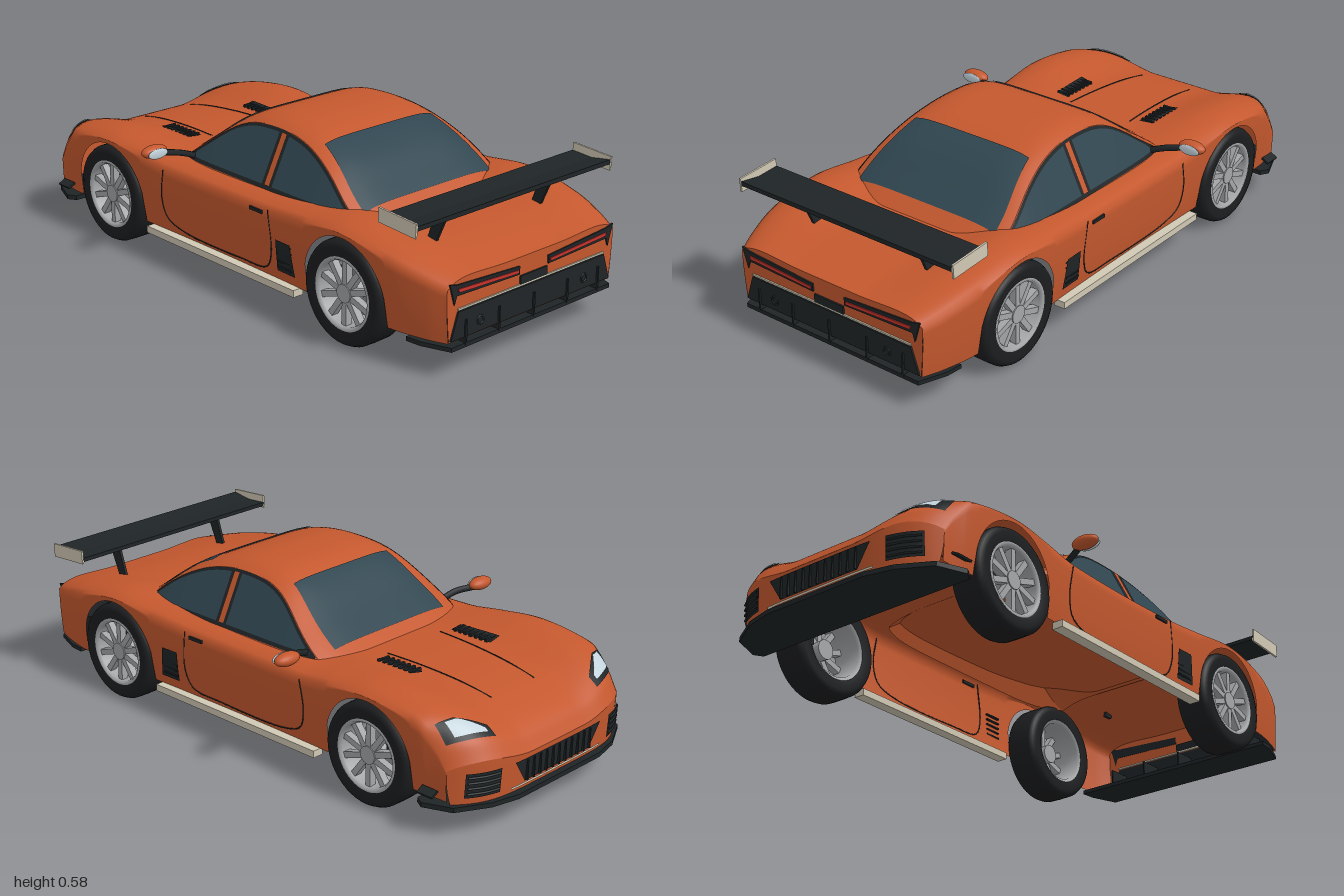
import * as THREE from 'three';

const mat = (color) => new THREE.MeshStandardMaterial({ color, side: THREE.DoubleSide });
const ORANGE = mat(0xc4582e), BLACK = mat(0x1f2426), GLASS = mat(0x2f454f), CREAM = mat(0xd0c8b4);
const RED = mat(0xc8342c), TYRE = mat(0x1c1d1f), SILVER = mat(0xa4a6a8), LENS = mat(0xc4d4dc);
const V = (x, y, z) => new THREE.Vector3(x, y, z);
const { smoothstep, lerp, clamp } = THREE.MathUtils;

// Smooth function through [z, value] pairs
function curve(pts) {
  const slope = (i) => {
    const a = pts[Math.max(i - 1, 0)], b = pts[Math.min(i + 1, pts.length - 1)];
    return (b[1] - a[1]) / (b[0] - a[0]);
  };
  return (z) => {
    let i = 0;
    while (i < pts.length - 2 && z > pts[i + 1][0]) i++;
    const h = pts[i + 1][0] - pts[i][0], t = clamp((z - pts[i][0]) / h, 0, 1), t2 = t * t, t3 = t2 * t;
    return (2 * t3 - 3 * t2 + 1) * pts[i][1] + (t3 - 2 * t2 + t) * h * slope(i)
      + (3 * t2 - 2 * t3) * pts[i + 1][1] + (t3 - t2) * h * slope(i + 1);
  };
}

// Body rules: the nose points to -z
const NOSE = -0.985, TAIL = 0.985, AXLES = [-0.58, 0.6], WHEEL_Y = 0.175, ARCH_W = 0.179, ARCH_H = 0.186;
const halfWidth = curve([[NOSE, 0.415], [-0.85, 0.43], [-0.58, 0.437], [-0.3, 0.425], [0, 0.422], [0.3, 0.427], [0.6, 0.438], [0.8, 0.428], [0.92, 0.4], [TAIL, 0.375]]);
const centreY = curve([[NOSE, 0.225], [-0.95, 0.272], [-0.88, 0.31], [-0.75, 0.345], [-0.55, 0.365], [-0.33, 0.368], [0.1, 0.36], [0.6, 0.362], [0.8, 0.35], [TAIL, 0.312]]);
const fenderY = curve([[NOSE, 0.25], [-0.95, 0.303], [-0.88, 0.35], [-0.75, 0.385], [-0.58, 0.403], [-0.42, 0.39], [-0.28, 0.374], [0.2, 0.376], [0.42, 0.39], [0.6, 0.403], [0.8, 0.37], [TAIL, 0.32]]);
const bend = (x, z) => z + 0.115 * (1 - smoothstep(z, NOSE, -0.75)) * (Math.abs(x) / 0.43) ** 5;
const deckY = (x, z) => {
  const t = Math.min(Math.abs(x) / halfWidth(z), 1);
  return lerp(centreY(z), fenderY(z), smoothstep(t, 0.3, 0.8)) - 0.028 * t ** 12;
};
const deck = (x, z, lift = 0) => V(x, deckY(x, z) + lift, bend(x, z));
const nose = (x, y, out = 0.005) => V(x, y, bend(x, NOSE) + 0.008 * clamp((0.23 - y) / 0.12, 0, 1) - out);
const sideX = (y, z) => halfWidth(z) - 0.02 * ((deckY(1, z) - y) / 0.25) ** 2;
const flank = (s, y, z, out = 0) => V(s * (sideX(y, z) + out), y, bend(halfWidth(z), z));
function sillY(z) {
  for (const a of AXLES) {
    const d = Math.abs(z - a) / ARCH_W;
    if (d < 1) return Math.min(WHEEL_Y + ARCH_H * Math.sqrt(1 - d * d), deckY(1, z) - 0.003);
  }
  return 0.12;
}

// Cabin rules
const roofY = curve([[-0.34, 0.355], [-0.3, 0.383], [-0.2, 0.452], [-0.08, 0.538], [0, 0.57], [0.1, 0.58], [0.2, 0.574], [0.3, 0.55], [0.4, 0.502], [0.5, 0.43], [0.6, 0.355]]);
const cabinX = (y, z) => 0.35 - 0.5 * (y - 0.37) - 0.06 * ((z - 0.12) / 0.47) ** 6;
const eaveY = (z) => Math.max(roofY(z) - 0.028, 0.33);
const roof = (a, z, lift = 0) => V(a * cabinX(eaveY(z), z), lerp(roofY(z), eaveY(z), a ** 6) + lift, z);

export function createModel() {
  const car = new THREE.Group();
  const add = (name, geo, material, parent = car) => {
    const m = new THREE.Mesh(geo, material);
    m.name = name;
    parent.add(m);
    return m;
  };
  // Surface from fn(u, v) over the unit square
  const patch = (name, material, nu, nv, fn) => {
    const pos = [], idx = [];
    for (let i = 0; i <= nu; i++) for (let j = 0; j <= nv; j++) {
      pos.push(...fn(i / nu, j / nv).toArray());
      if (i < nu && j < nv) {
        const a = i * (nv + 1) + j, b = a + nv + 1;
        idx.push(a, a + 1, b, b, a + 1, b + 1);
      }
    }
    const g = new THREE.BufferGeometry();
    g.setAttribute('position', new THREE.Float32BufferAttribute(pos, 3));
    g.setIndex(idx);
    g.computeVertexNormals();
    return add(name, g, material);
  };
  const box = (name, material, w, h, d, x, y, z) => {
    const m = add(name, new THREE.BoxGeometry(w, h, d), material);
    m.position.set(x, y, z);
    return m;
  };
  const tube = (name, material, pts, r) =>
    add(name, new THREE.TubeGeometry(new THREE.CatmullRomCurve3(pts), 48, r, 6), material);
  // Flat outline, extruded along its own z
  const plate = (name, material, pts, depth) =>
    add(name, new THREE.ExtrudeGeometry(new THREE.Shape(pts.map((p) => new THREE.Vector2(...p))), { depth, bevelEnabled: false }), material);
  // Symmetric plan outline [x, z], laid flat with its top at y
  const floorPlate = (name, material, half, thick, y) => {
    const m = plate(name, material, [...half, ...half.slice().reverse().map(([x, z]) => [-x, z])], thick);
    m.rotation.x = Math.PI / 2;
    m.position.y = y;
  };

  // Shell: flanks with wheel arches run smoothly into the deck, then nose and tail faces
  patch('bodyShell', ORANGE, 300, 64, (u, v) => {
    const z = lerp(NOSE, TAIL, u), a = 2 * v - 1, edge = 0.75;
    if (Math.abs(a) <= edge) return deck((a / edge) * halfWidth(z), z);
    return flank(Math.sign(a), lerp(deckY(1, z), sillY(z), (Math.abs(a) - edge) / (1 - edge)), z);
  });
  patch('noseFace', ORANGE, 6, 48, (u, v) => {
    const x = (2 * v - 1) * halfWidth(NOSE);
    return nose(x * (1 - 0.03 * u * u), lerp(deckY(x, NOSE), 0.11, u), 0);
  });
  patch('tailFace', ORANGE, 6, 48, (u, v) => {
    const x = (2 * v - 1) * halfWidth(TAIL);
    return V(x * (1 - 0.03 * u * u), lerp(deckY(x, TAIL), 0.122, u), TAIL);
  });

  // Cabin, windscreen and rear window
  patch('cabinRoof', ORANGE, 60, 32, (u, v) => roof(2 * v - 1, lerp(-0.34, 0.6, u)));
  patch('windscreen', GLASS, 16, 16, (u, v) => roof((2 * v - 1) * lerp(0.8, 0.81, u), lerp(-0.285, -0.06, u), 0.004));
  patch('rearWindow', GLASS, 16, 16, (u, v) => roof((2 * v - 1) * lerp(0.86, 0.9, u), lerp(0.31, 0.545, u), 0.004));

  // Grille and number panel
  patch('grille', BLACK, 20, 2, (u, v) => nose((2 * u - 1) * lerp(0.16, 0.21, v), lerp(0.135, 0.212, v)));
  for (let i = -5; i <= 5; i++) box('grilleBar', BLACK, 0.005, 0.07, 0.008, i * 0.031, 0.172, nose(i * 0.031, 0.172).z - 0.002);
  patch('grilleTrim', CREAM, 20, 1, (u, v) => nose((2 * u - 1) * 0.22, lerp(0.122, 0.13, v)));
  box('numberPanel', BLACK, 0.12, 0.028, 0.012, 0, 0.238, TAIL);

  // Front splitter and rear tray
  floorPlate('frontSplitter', BLACK, [[0.2, -0.998], [0.3, -0.975], [0.41, -0.915], [0.448, -0.82], [0.43, -0.79]], 0.016, 0.109);
  floorPlate('diffuserTray', BLACK, [[0.36, 0.995], [0.395, 0.9], [0.4, 0.845]], 0.014, 0.109);

  // Rear diffuser
  const diffuser = plate('diffuserPanel', BLACK, [[-0.36, 0.127], [0.36, 0.127], [0.33, 0.215], [-0.33, 0.215]], 0.008);
  diffuser.position.z = TAIL - 0.002;
  box('tailTrim', CREAM, 0.66, 0.006, 0.01, 0, 0.221, TAIL);
  for (const x of [-0.3, -0.155, 0, 0.155, 0.3]) box('diffuserFin', BLACK, 0.006, 0.08, 0.1, x, 0.143, 0.947);

  // Rear wing
  const wing = plate('wingBlade', BLACK, [[-0.76, 0.466], [-0.84, 0.458], [-0.915, 0.472], [-0.915, 0.487], [-0.84, 0.475], [-0.76, 0.48]], 0.87);
  wing.rotation.y = Math.PI / 2;
  wing.position.x = -0.435;

  for (const s of [-1, 1]) {
    patch('cabinSide', ORANGE, 60, 6, (u, v) => {
      const z = lerp(-0.34, 0.6, u), y = lerp(eaveY(z), 0.33, v);
      return V(s * cabinX(y, z), y, z);
    });
    // Side windows over a dark surround
    const pane = (name, m, z0, z1, low, gap, out) => patch(name, m, 30, 4, (u, v) => {
      const z = lerp(z0, z1, u), y = lerp(low, Math.max(eaveY(z) - gap, low), v);
      return V(s * (cabinX(y, z) + out), y, z);
    });
    pane('windowSurround', BLACK, -0.265, 0.55, 0.373, 0, 0.003);
    pane('frontSideWindow', GLASS, -0.245, 0.132, 0.386, 0.009, 0.006);
    pane('rearSideWindow', GLASS, 0.18, 0.52, 0.386, 0.009, 0.006);
    pane('doorPillar', ORANGE, 0.144, 0.168, 0.386, 0.006, 0.007);
    // Door seam, handle, side vent and skirt
    tube('doorSeam', BLACK, [[0.25, 0.35], [0.26, 0.21], [0.23, 0.148], [0.1, 0.135], [-0.2, 0.14], [-0.28, 0.17], [-0.3, 0.24], [-0.285, 0.34]]
      .map(([z, y]) => flank(s, y, z)), 0.0023);
    box('doorHandle', BLACK, 0.012, 0.011, 0.06, s * sideX(0.335, 0.2), 0.335, 0.195);
    patch('sideVent', BLACK, 4, 4, (u, v) => flank(s, lerp(0.155, 0.262, u), lerp(0.29, lerp(0.375, 0.36, u), v), 0.005));
    for (let i = 0; i < 5; i++) box('sideVentSlat', BLACK, 0.012, 0.005, 0.066, s * sideX(0.2, 0.33), 0.172 + i * 0.019, 0.328);
    box('sideSkirt', CREAM, 0.04, 0.024, 0.75, s * 0.42, 0.109, 0.012);
    // Headlamp, wider towards its outer end
    const lamp = (name, m, x0, x1, inset, lift) => patch(name, m, 16, 8, (u, v) => {
      const x = lerp(x0, x1, u), front = -0.945 + inset;
      return deck(s * x, lerp(front, lerp(-0.91, -0.86, Math.min(u * 1.6, 1)) - inset, v), lift);
    });
    lamp('headlampFrame', BLACK, 0.25, 0.4, 0, 0.004);
    lamp('headlampLens', LENS, 0.268, 0.375, 0.011, 0.008);
    // Corner intake with slats, and small canard
    patch('cornerIntake', BLACK, 10, 2, (u, v) => nose(s * lerp(0.265, 0.375, u), lerp(0.132, 0.213, v)));
    for (let i = 0; i < 4; i++)
      tube('intakeSlat', BLACK, [0.27, 0.32, 0.37].map((x) => nose(s * x, 0.145 + i * 0.018, 0.007)), 0.004);
    box('canard', BLACK, 0.03, 0.008, 0.06, s * 0.437, 0.145, -0.835).rotation.z = -s * 0.5;
    // Bonnet vent with slats, and bonnet crease
    patch('bonnetVent', BLACK, 4, 8, (u, v) => deck(s * (lerp(0.157, 0.205, u) + 0.008 * (1 - v)), lerp(-0.57, -0.41, v), 0.004));
    for (let i = 0; i < 7; i++) box('bonnetVentSlat', BLACK, 0.05, 0.01, 0.009, s * 0.184, deckY(0.183, -0.5) + 0.003, -0.555 + i * 0.022);
    tube('bonnetCrease', BLACK, [0, 0.25, 0.5, 0.75, 1].map((t) => deck(s * lerp(0.105, 0.128, t), lerp(-0.8, -0.39, t))), 0.0025);
    // Tail lamp
    const frame = plate('tailLampFrame', BLACK, [[0.065, 0.258], [0.338, 0.267], [0.347, 0.24], [0.368, 0.31], [0.335, 0.302], [0.065, 0.285]].map(([x, y]) => [s * x, y]), 0.006);
    frame.position.z = TAIL - 0.001;
    const strip = plate('tailLamp', RED, [[0.072, 0.265], [0.33, 0.277], [0.335, 0.289], [0.072, 0.275]].map(([x, y]) => [s * x, y]), 0.004);
    strip.position.z = TAIL + 0.004;
    const pipe = add('exhaustPipe', new THREE.TorusGeometry(0.013, 0.003, 8, 24), BLACK);
    pipe.position.set(s * 0.235, 0.163, TAIL + 0.006);
    // Wing end plate and stay
    box('wingEndPlate', CREAM, 0.007, 0.047, 0.155, s * 0.435, 0.478, 0.838).rotation.x = 0.06;
    const stay = plate('wingStay', BLACK, [[-0.765, 0.345], [-0.8, 0.345], [-0.855, 0.468], [-0.805, 0.468]], 0.01);
    stay.rotation.y = Math.PI / 2;
    stay.position.x = s * 0.235 - 0.005;
    // Door mirror
    const shell = add('mirrorShell', new THREE.SphereGeometry(0.05, 24, 16), ORANGE);
    shell.scale.set(1, 0.44, 0.55);
    shell.position.set(s * 0.466, 0.418, -0.275);
    const mirror = add('mirrorGlass', new THREE.SphereGeometry(0.04, 24, 12), LENS);
    mirror.scale.set(1, 0.44, 0.12);
    mirror.position.set(s * 0.468, 0.416, -0.251);
    tube('mirrorArm', BLACK, [V(s * 0.33, 0.385, -0.225), V(s * 0.38, 0.402, -0.24), V(s * 0.435, 0.41, -0.268)], 0.011);

    // Wheels: axis along local y, outer side at +y
    for (const z of AXLES) {
      const wheel = new THREE.Group();
      wheel.name = 'wheel';
      const lathe = (name, m, pts) => add(name, new THREE.LatheGeometry(pts.map((p) => new THREE.Vector2(...p)), 48), m, wheel);
      lathe('tyre', TYRE, [[0.118, -0.058], [0.15, -0.062], [0.165, -0.056], [0.172, -0.042], [0.173, 0], [0.172, 0.042], [0.165, 0.056], [0.15, 0.062], [0.118, 0.056]]);
      lathe('rim', SILVER, [[0.12, 0.058], [0.112, 0.06], [0.106, 0.05], [0.104, 0], [0.106, -0.05], [0.12, -0.058]]);
      for (let i = 0; i < 10; i++) {
        const arm = new THREE.Group();
        arm.rotation.y = (i * Math.PI) / 5;
        wheel.add(arm);
        add('spoke', new THREE.BoxGeometry(0.09, 0.025, 0.02), SILVER, arm).position.set(0.064, 0.036, 0);
      }
      add('hub', new THREE.CylinderGeometry(0.03, 0.034, 0.06, 24), SILVER, wheel).position.y = 0.022;
      const caliper = add('brakeCaliper', new THREE.BoxGeometry(0.06, 0.024, 0.03), BLACK, wheel);
      caliper.position.set(-0.03 * s, 0.008, -0.066);
      wheel.rotation.z = -s * Math.PI / 2;
      wheel.position.set(s * 0.374, WHEEL_Y, z);
      car.add(wheel);
    }
  }
  return car;
}
